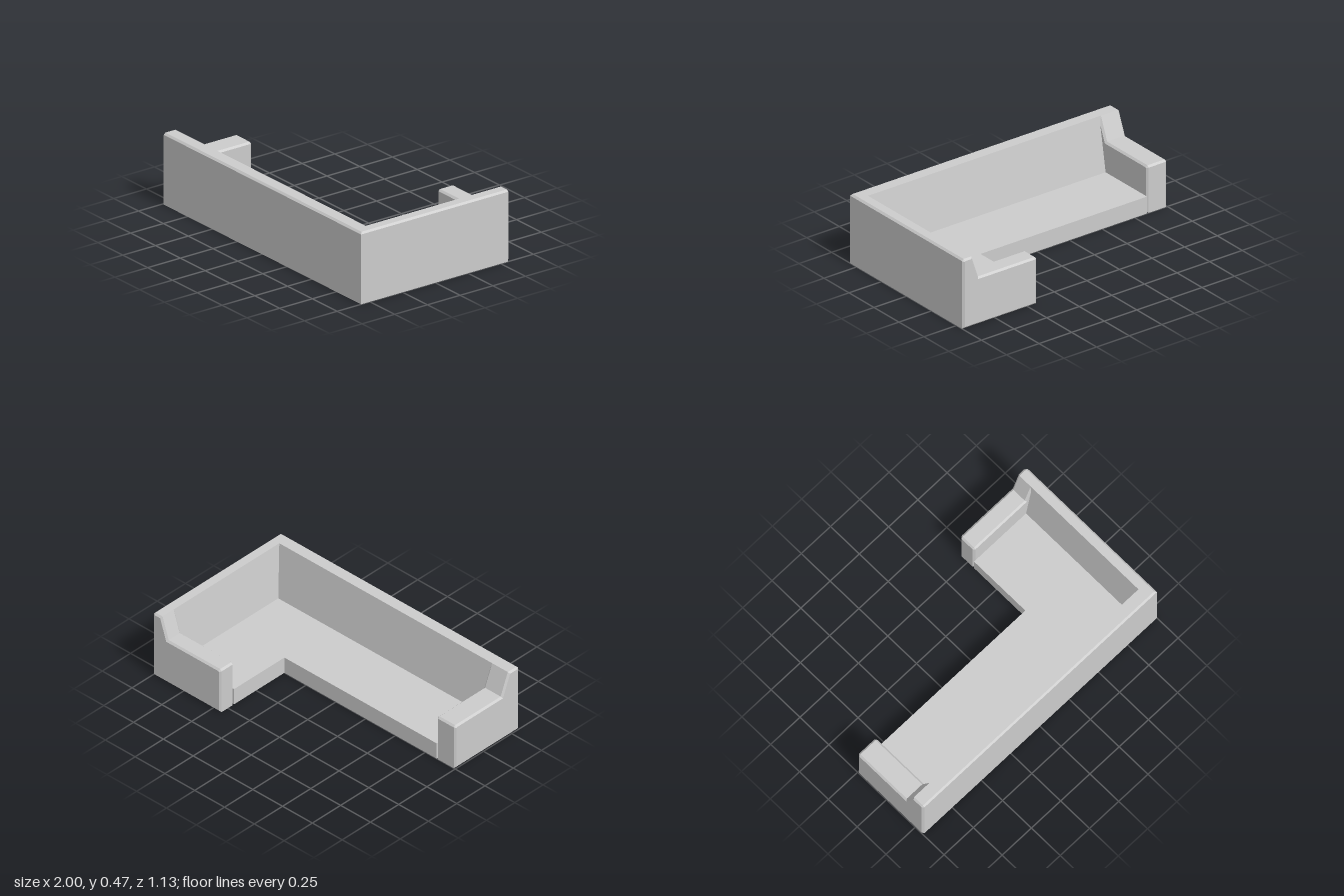
import * as THREE from 'three';

const material = new THREE.MeshStandardMaterial({ color: 0xcccccc, flatShading: true });
const W = 1, D = 0.567;                        // half width, half depth
const BACK_Y = 0.472, ARM_Y = 0.32, SEAT_Y = 0.115;
const CH = 0.012;                              // chamfer
const INNER_X = 0.433;                         // inner side of the short wing

// Backrest thickness at the top and at the seat, for the long and short wings
const LONG = { top: 0.089, foot: 0.152 };
const SHORT = { top: 0.071, foot: 0.122 };

function addMesh(group, name, geometry) {
  const mesh = new THREE.Mesh(geometry, material);
  mesh.name = name;
  group.add(mesh);
}

// L-shaped seat slab
function seatGeometry() {
  const shape = new THREE.Shape([
    [-0.845, 0], [INNER_X, 0], [INNER_X, 0.445], [0.95, 0.445], [0.95, -0.52], [-0.845, -0.52],
  ].map(([x, y]) => new THREE.Vector2(x, y)));
  const g = new THREE.ExtrudeGeometry(shape, { depth: SEAT_Y, bevelEnabled: false });
  return g.rotateX(-Math.PI / 2);
}

// Sloped backrest: one section carried around a mitred corner
function backGeometry() {
  const section = (w) => [
    [0, 0], [0, BACK_Y - CH], [CH, BACK_Y], [w.top, BACK_Y], [w.foot, SEAT_Y], [w.foot, 0],
  ];
  const a = section(LONG), b = section(SHORT);
  const rings = [
    a.map(([d, y]) => [-0.875, y, D - d]),
    a.map(([d, y], i) => [W - b[i][0], y, D - d]),
    b.map(([d, y]) => [W - d, y, -0.475]),
  ];
  const n = a.length, index = [];
  for (let r = 0; r < 2; r++) {
    for (let i = 0; i < n; i++) {
      const j = (i + 1) % n;
      const p = r * n + i, q = r * n + j;
      index.push(p, p + n, q, q, p + n, q + n);
    }
  }
  // End caps
  for (let i = 1; i < n - 1; i++) {
    index.push(0, i, i + 1, 2 * n, 2 * n + i + 1, 2 * n + i);
  }
  const g = new THREE.BufferGeometry();
  g.setAttribute('position', new THREE.Float32BufferAttribute(rings.flat(2), 3));
  g.setIndex(index);
  const flat = g.toNonIndexed();
  flat.computeVertexNormals();
  return flat;
}

// Chamfered arm whose rear rises to the top of the backrest
function armGeometry(thickness, w) {
  const shape = new THREE.Shape([
    [0, 0], [D, 0], [D, BACK_Y - CH], [D - CH, BACK_Y], [D - w.top, BACK_Y],
    [D - w.foot, ARM_Y], [CH, ARM_Y], [0, ARM_Y - CH],
  ].map(([u, y]) => new THREE.Vector2(u, y)));
  return new THREE.ExtrudeGeometry(shape, {
    depth: thickness - 2 * CH, bevelEnabled: true, bevelSegments: 1,
    bevelThickness: CH, bevelSize: CH, bevelOffset: -CH,
  });
}

export function createModel() {
  const group = new THREE.Group();
  group.name = 'cornerSofa';
  addMesh(group, 'seat', seatGeometry());
  addMesh(group, 'backrest', backGeometry());
  addMesh(group, 'longWingArm',
    armGeometry(0.155, LONG).rotateY(-Math.PI / 2).translate(-0.845 - CH, 0, 0));
  addMesh(group, 'shortWingArm',
    armGeometry(0.122, SHORT).translate(INNER_X, 0, -D + CH));
  return group;
}
